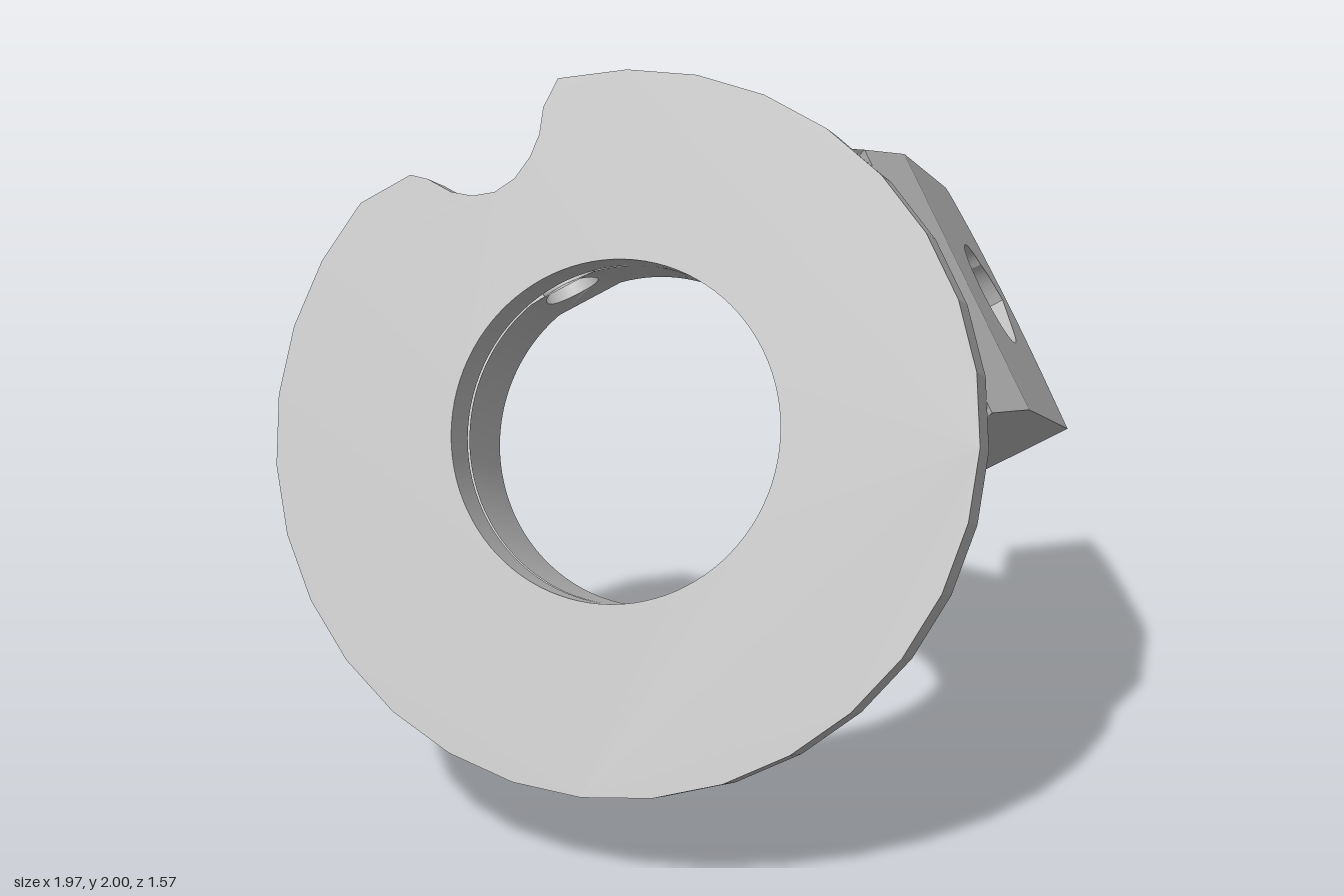
import * as THREE from 'three';
import { toCreasedNormals } from 'three/addons/utils/BufferGeometryUtils.js';

const TILT = -0.415;   // lean of the whole flange
const TURN = 0.576;    // in-plane turn of the yoke behind the disc
const BORE = 0.44;
const DISC_BACK = -0.12, BLOCK_BACK = -0.35;
const ARM_IN = 0.67, ARM_OUT = 0.93, ARM_HALF = 0.375;
const HOLE_R = 0.075, HOLE_N = -0.21, FACE_W = 0.7;

const v2 = (x, y) => new THREE.Vector2(x, y);
const circlePath = (cx, cy, rx, ry, seg) => {
  const pts = [];
  for (let i = 0; i < seg; i++) {
    const a = (i / seg) * Math.PI * 2;
    pts.push(v2(cx + rx * Math.cos(a), cy + ry * Math.sin(a)));
  }
  return new THREE.Path(pts);
};
const basis = (a, b, c) => new THREE.Matrix4().makeBasis(
  new THREE.Vector3(...a), new THREE.Vector3(...b), new THREE.Vector3(...c));

export function createModel() {
  const steel = new THREE.MeshStandardMaterial({ color: 0xbfbfbf, side: THREE.DoubleSide });
  steel.name = 'grey metal';
  const add = (parent, geo, name) => {
    const m = new THREE.Mesh(geo, steel);
    m.name = name;
    parent.add(m);
    return m;
  };

  const model = new THREE.Group();
  model.name = 'flangeYoke';
  const tilted = new THREE.Group();
  tilted.name = 'tiltedBody';
  tilted.position.set(0, 1.15, 0.415);
  tilted.rotation.x = TILT;
  model.add(tilted);
  const yoke = new THREE.Group();
  yoke.name = 'yoke';
  yoke.rotation.z = TURN;
  tilted.add(yoke);

  // Flange disc with a rounded notch in its rim
  const rim = [];
  const a0 = 1.87, a1 = 2.53 + 0.02, steps = 28;
  for (let i = 0; i <= steps; i++) {
    const a = a1 + (i / steps) * (a0 + Math.PI * 2 - a1);
    rim.push(v2(0.94 * Math.cos(a), 0.93 * Math.sin(a)));
  }
  [[-0.29, 0.855], [-0.307, 0.81], [-0.308, 0.74], [-0.325, 0.68], [-0.36, 0.62], [-0.41, 0.58],
    [-0.47, 0.565], [-0.53, 0.57], [-0.6, 0.598], [-0.65, 0.605]].forEach(p => rim.push(v2(...p)));
  const discShape = new THREE.Shape(rim);
  discShape.holes.push(circlePath(-0.005, 0, BORE, BORE, 96));
  const disc = new THREE.ExtrudeGeometry(discShape, { depth: -DISC_BACK, bevelEnabled: false });
  disc.translate(0, 0, DISC_BACK);
  add(tilted, toCreasedNormals(disc, 0.12), 'flangeDisc');

  // Hub block: eight-sided, its ends shrinking toward the back
  const outline = end => [
    [end, -ARM_HALF], [end, ARM_HALF], [0.35, FACE_W], [-0.35, FACE_W],
    [-end, ARM_HALF], [-end, -ARM_HALF], [-0.35, -0.61], [0.35, -0.61]];
  const front = outline(0.87), back = outline(ARM_IN);
  const walls = [];
  for (let i = 0; i < 8; i++) {
    if (i === 0 || i === 2 || i === 4) continue; // covered by arms, or the drilled face
    const j = (i + 1) % 8;
    const f0 = [...front[i], DISC_BACK], f1 = [...front[j], DISC_BACK];
    const b0 = [...back[i], BLOCK_BACK], b1 = [...back[j], BLOCK_BACK];
    walls.push(...f0, ...b0, ...b1, ...f0, ...b1, ...f1);
  }
  const wallGeo = new THREE.BufferGeometry();
  wallGeo.setAttribute('position', new THREE.Float32BufferAttribute(walls, 3));
  wallGeo.computeVertexNormals();
  add(yoke, wallGeo, 'hubWalls');

  const backShape = new THREE.Shape(back.map(([u, w]) => v2(u, -w)));
  backShape.holes.push(circlePath(0, 0, BORE, BORE, 96));
  const backGeo = new THREE.ShapeGeometry(backShape);
  backGeo.rotateX(Math.PI).translate(0, 0, BLOCK_BACK);
  add(yoke, backGeo, 'hubBack');

  // Drilled face of the hub
  const rect = (h, lo, hi) => new THREE.Shape([v2(-h, lo), v2(h, lo), v2(h, hi), v2(-h, hi)]);
  const faceShape = rect(0.35, -DISC_BACK, -BLOCK_BACK);
  faceShape.holes.push(circlePath(0, -HOLE_N, HOLE_R, HOLE_R, 32));
  const faceGeo = new THREE.ShapeGeometry(faceShape);
  faceGeo.rotateX(-Math.PI / 2); // shape y becomes -z, facing outward
  faceGeo.translate(0, FACE_W, 0);
  add(yoke, faceGeo, 'drilledFace');

  // Bore wall: flat sheets (angle, depth) bent round the axis
  const bend = geo => {
    const p = geo.attributes.position;
    for (let i = 0; i < p.count; i++) {
      const t = p.getX(i), n = p.getY(i);
      p.setXYZ(i, BORE * Math.sin(t), BORE * Math.cos(t), n);
    }
    geo.computeVertexNormals();
    return geo;
  };
  const PATCH = 0.22, mid = (DISC_BACK + BLOCK_BACK) / 2;
  const sheet = new THREE.PlaneGeometry(2 * (Math.PI - PATCH), DISC_BACK - BLOCK_BACK, 90, 1);
  add(yoke, bend(sheet.translate(Math.PI, mid, 0)), 'boreWall');
  const patch = rect(PATCH, BLOCK_BACK, DISC_BACK);
  patch.holes.push(circlePath(0, HOLE_N, HOLE_R / BORE, HOLE_R, 32));
  add(yoke, bend(new THREE.ShapeGeometry(patch)), 'boreDrilledPatch');

  // Radial oil hole, its inner end trimmed to the bore
  const tube = new THREE.CylinderGeometry(HOLE_R, HOLE_R, 1, 32, 1, true);
  const tp = tube.attributes.position;
  for (let i = 0; i < tp.count; i++) {
    const u = tp.getX(i);
    tp.setY(i, tp.getY(i) > 0 ? FACE_W : Math.sqrt(BORE * BORE - u * u));
  }
  add(yoke, tube.translate(0, 0, HOLE_N), 'radialHole');

  // Arms: rounded end and a teardrop pin hole
  const armShape = new THREE.Shape();
  armShape.moveTo(ARM_HALF, BLOCK_BACK);
  armShape.lineTo(-ARM_HALF, BLOCK_BACK);
  armShape.lineTo(-ARM_HALF, -0.99);
  armShape.splineThru([v2(-0.17, -1.03), v2(0.01, -1.037), v2(0.2, -1.005), v2(0.33, -0.945), v2(ARM_HALF, -0.908)]);
  armShape.closePath();
  const pin = new THREE.Path();
  pin.absarc(0.015, -0.733, 0.15, -Math.PI / 4, Math.PI * 1.25, false);
  pin.lineTo(0.025, -0.95);
  pin.quadraticCurveTo(0.1, -0.9, 0.121, -0.839);
  armShape.holes.push(pin);

  for (const side of [1, -1]) {
    const arm = new THREE.Group();
    arm.name = side > 0 ? 'leftArm' : 'rightArm';
    yoke.add(arm);
    const plate = new THREE.ExtrudeGeometry(armShape,
      { depth: ARM_OUT - ARM_IN, bevelEnabled: false, curveSegments: 24 });
    plate.applyMatrix4(basis([0, 1, 0], [0, 0, 1], [1, 0, 0]));
    plate.translate(side > 0 ? ARM_IN : -ARM_OUT, 0, 0);
    add(arm, toCreasedNormals(plate, 0.3), 'armPlate');

    // Tapered foot joining the arm to the disc
    const foot = new THREE.ExtrudeGeometry(new THREE.Shape([
      v2(side * 0.87, DISC_BACK), v2(side * ARM_OUT, BLOCK_BACK), v2(side * ARM_IN, BLOCK_BACK)]),
    { depth: 2 * ARM_HALF, bevelEnabled: false });
    foot.applyMatrix4(basis([1, 0, 0], [0, 0, 1], [0, -1, 0]));
    foot.translate(0, ARM_HALF, 0);
    add(arm, foot, 'armFoot');
  }
  return model;
}
